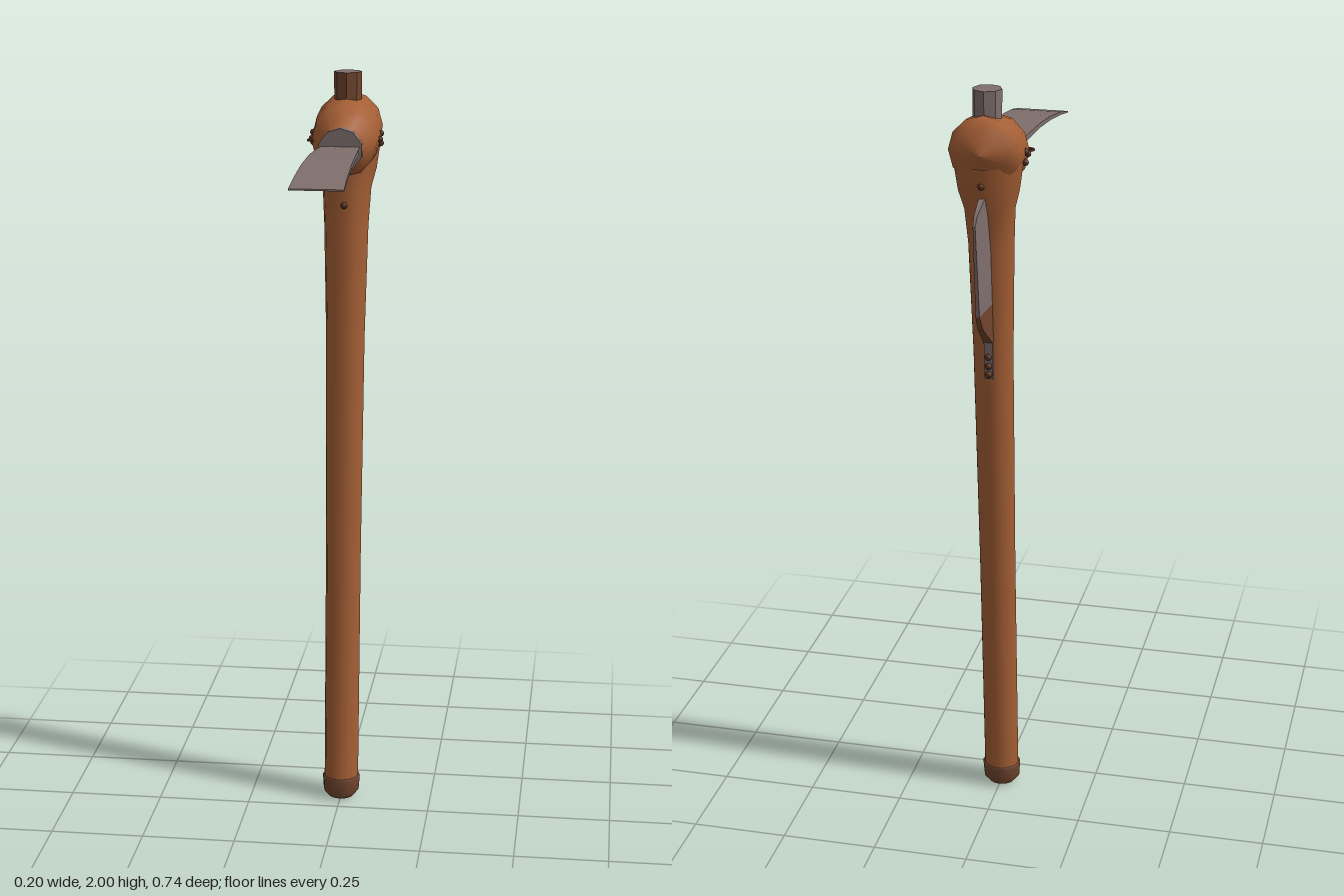
import * as THREE from 'three';

const material = (name, color, side = THREE.FrontSide) => {
  const m = new THREE.MeshStandardMaterial({ color, side });
  m.name = name;
  return m;
};

// Lofts elliptical rings [along y, centre z, radius x, radius z] into a closed smooth skin
function loft(rings, sides = 12) {
  const pos = [], idx = [];
  rings.forEach(([y, cz, rx, rz]) => {
    for (let j = 0; j < sides; j++) {
      const a = (j / sides) * Math.PI * 2;
      pos.push(rx * Math.cos(a), y, cz + rz * Math.sin(a));
    }
  });
  for (let i = 0; i < rings.length - 1; i++) {
    for (let j = 0; j < sides; j++) {
      const a = i * sides + j, c = i * sides + (j + 1) % sides;
      idx.push(a, a + sides, c, c, a + sides, c + sides);
    }
  }
  const g = new THREE.BufferGeometry();
  g.setAttribute('position', new THREE.Float32BufferAttribute(pos, 3));
  g.setIndex(idx);
  g.computeVertexNormals();
  return g;
}

// Upright plate from a [z, y] outline, thinning towards the back edge
function fin(outline) {
  const shape = new THREE.Shape(outline.map(([z, y]) => new THREE.Vector2(-z, y)));
  const g = new THREE.ExtrudeGeometry(shape, { depth: 1, bevelEnabled: false });
  g.translate(0, 0, -0.5).rotateY(Math.PI / 2);
  const p = g.attributes.position;
  for (let i = 0; i < p.count; i++) {
    const t = THREE.MathUtils.clamp((p.getZ(i) + 0.37) / 0.17, 0, 1);
    p.setX(i, p.getX(i) * THREE.MathUtils.lerp(0.006, 0.028, t));
  }
  g.computeVertexNormals();
  return g;
}

export function createModel() {
  const group = new THREE.Group();
  const wood = material('wood', 0xa55f35);
  const darkWood = material('dark wood', 0x71452e);
  const steel = material('steel', 0x7f6f6d);
  const iron = material('dark rivet', 0x55301f);
  const add = (name, geometry, mat, x = 0, y = 0, z = 0) => {
    const mesh = new THREE.Mesh(geometry, mat);
    mesh.name = name;
    mesh.position.set(x, y, z);
    group.add(mesh);
    return mesh;
  };
  const axisZ = y => -0.083 - 0.068 * y;

  // Leaning handle that flares into the head
  add('handle', loft([
    [0.04, axisZ(0.04), 0.047, 0.047],
    [0.7, axisZ(0.7), 0.048, 0.048],
    [1.3, axisZ(1.3), 0.052, 0.051],
    [1.6, axisZ(1.6), 0.059, 0.056],
    [1.7, -0.207, 0.065, 0.066],
    [1.75, -0.216, 0.078, 0.08],
    [1.82, -0.22, 0.088, 0.088],
  ]), wood);

  // Rounded pommel
  add('pommel', loft([
    [0, -0.083, 0.001, 0.001],
    [0.002, -0.083, 0.036, 0.036],
    [0.018, -0.084, 0.049, 0.049],
    [0.058, -0.087, 0.052, 0.052],
    [0.062, -0.087, 0.046, 0.046],
  ]), darkWood);

  // Bulbous head, lofted front to back
  const head = loft([
    [-0.316, -1.855, 0.001, 0.001],
    [-0.295, -1.86, 0.07, 0.055],
    [-0.27, -1.855, 0.088, 0.088],
    [-0.2, -1.838, 0.091, 0.096],
    [-0.145, -1.827, 0.086, 0.092],
    [-0.115, -1.822, 0.072, 0.076],
    [-0.076, -1.82, 0.05, 0.055],
  ]);
  add('head', head.rotateX(Math.PI / 2), wood);

  // Collar around the root of the front blade
  const collar = new THREE.CylinderGeometry(0.058, 0.058, 0.027, 10).rotateX(Math.PI / 2);
  add('collar', collar, steel, 0, 1.818, -0.063);

  // Broad curved front blade: stations [z, y, left x, right x, half thickness]
  const stations = [
    [-0.06, 1.82, -0.047, 0.05, 0.008], [0, 1.824, -0.053, 0.055, 0.007],
    [0.1, 1.825, -0.06, 0.058, 0.006], [0.2, 1.818, -0.066, 0.059, 0.005],
    [0.3, 1.804, -0.071, 0.06, 0.004], [0.374, 1.789, -0.075, 0.061, 0.002],
  ];
  const blade = new THREE.BoxGeometry(1, 1, 1, 1, 1, stations.length - 1);
  const p = blade.attributes.position;
  for (let i = 0; i < p.count; i++) {
    const [z, y, x0, x1, h] = stations[Math.round((p.getZ(i) + 0.5) * (stations.length - 1))];
    p.setXYZ(i, p.getX(i) < 0 ? x0 : x1, y + Math.sign(p.getY(i)) * h, z);
  }
  blade.computeVertexNormals();
  add('frontBlade', blade, steel);

  // Stub on top: wooden front half, steel back half and lid
  const half = start => new THREE.CylinderGeometry(0.037, 0.036, 0.14, 4, 1, true, start, Math.PI)
    .toNonIndexed();
  [[-Math.PI / 2, darkWood, 'stubFront'], [Math.PI / 2, steel, 'stubBack']].forEach(([s, m, n]) => {
    const g = half(s);
    g.computeVertexNormals();
    add(n, g, m, 0, 1.93, -0.228);
  });
  add('stubLid', new THREE.CircleGeometry(0.037, 8).rotateX(-Math.PI / 2), steel, 0, 2, -0.228);

  // Rear fin with a wooden lower end
  add('rearFin', fin([
    [-0.22, 1.74], [-0.285, 1.745], [-0.355, 1.717], [-0.37, 1.695],
    [-0.338, 1.455], [-0.225, 1.455],
  ]), steel);
  add('rearFinFoot', fin([
    [-0.225, 1.455], [-0.338, 1.455], [-0.312, 1.415], [-0.232, 1.35], [-0.2, 1.35],
  ]), darkWood);

  // Tang fixed to the back of the handle
  const tang = add('tang', new THREE.BoxGeometry(0.022, 0.12, 0.012), steel, 0, 1.31, -0.222);
  tang.rotation.x = -0.068;

  // Rivets on the tang, the front of the handle and the back of the head
  const rivet = new THREE.SphereGeometry(0.009, 8, 6);
  [[1.31, -0.228], [1.285, -0.227], [1.262, -0.225], [1.66, -0.136], [1.775, -0.297]]
    .forEach(([y, z]) => add('rivet', rivet, iron, 0, y, z));

  // Three rivets on each cheek
  for (const side of [-1, 1]) {
    [[1.83, -0.18], [1.842, -0.205], [1.816, -0.207]]
      .forEach(([y, z]) => add('cheekRivet', rivet, iron, side * 0.089, y, z));
  }

  // Small staple on the right cheek
  const staple = add('staple', new THREE.TorusGeometry(0.011, 0.003, 6, 12), iron, -0.085, 1.83, -0.143);
  staple.rotation.x = Math.PI / 2;

  return group;
}
